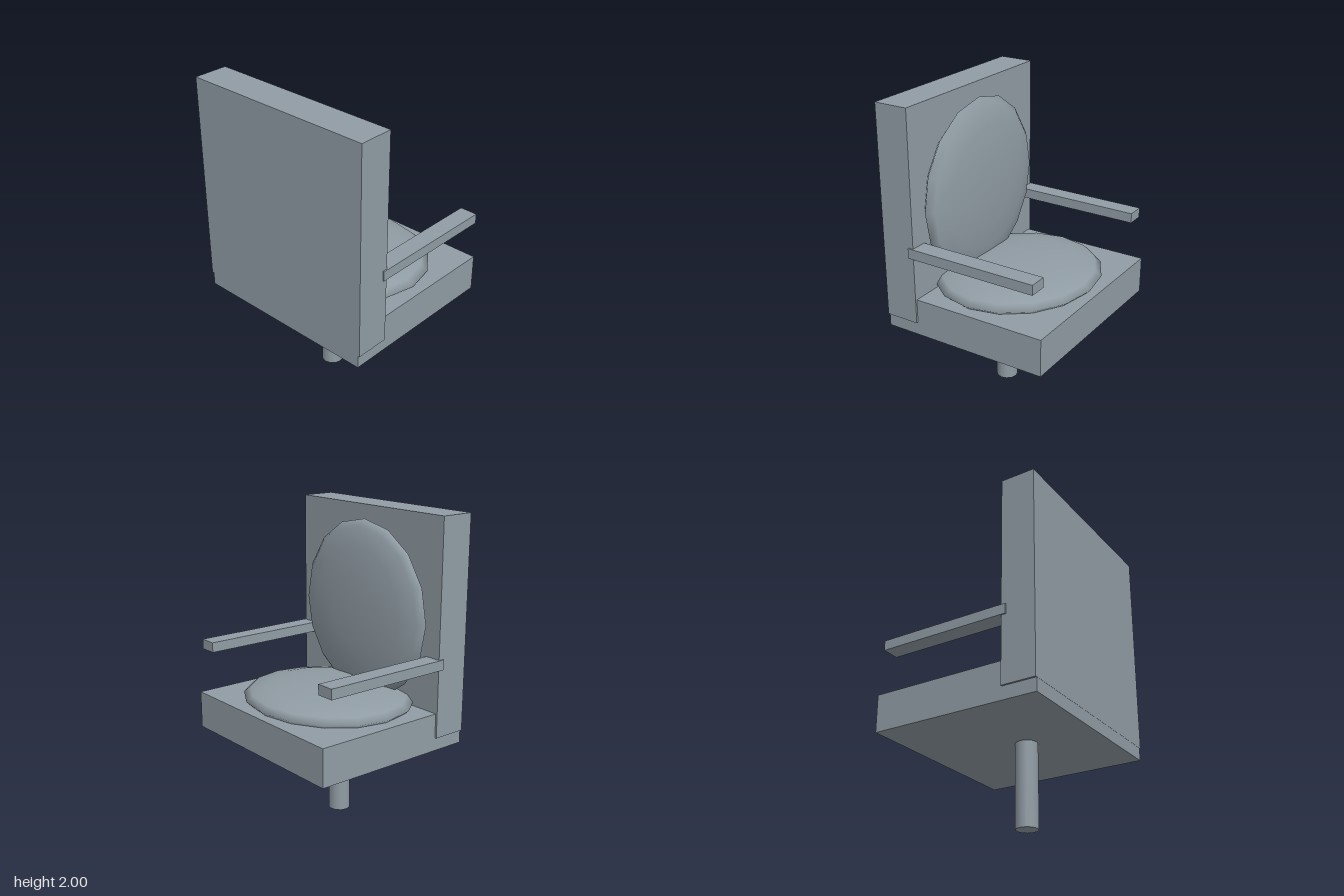
import * as THREE from 'three';

export function createModel() {
  const group = new THREE.Group();
  const grey = new THREE.MeshStandardMaterial({ color: 0x909ca4 });
  grey.name = 'slate grey';

  const add = (name, geometry, x, y, z) => {
    const mesh = new THREE.Mesh(geometry, grey);
    mesh.name = name;
    mesh.position.set(x, y, z);
    group.add(mesh);
    return mesh;
  };

  // Box given by its extents, centred on x
  const slab = (name, width, y0, y1, z0, z1, x = 0) =>
    add(name, new THREE.BoxGeometry(width, y1 - y0, z1 - z0), x, (y0 + y1) / 2, (z0 + z1) / 2);

  // Pedestal post, set slightly towards the backrest
  add('post', new THREE.CylinderGeometry(0.071, 0.071, 0.56, 12), 0, 0.28, 0.1);

  // Seat base and backrest slab
  slab('seatBase', 1.28, 0.54, 0.783, -0.558, 0.56);
  slab('backrest', 1.305, 0.625, 2, 0.335, 0.561);

  // Armrests run forward from the backrest
  for (const [side, name] of [[1, 'leftArmrest'], [-1, 'rightArmrest']]) {
    slab(name, 0.117, 1.065, 1.13, -0.513, 0.368, side * 0.603);
  }

  // Flattened cushions, each with its pole facing the sitter
  const seatCushion = new THREE.SphereGeometry(1, 16, 8).scale(0.587, 0.097, 0.518);
  add('seatCushion', seatCushion, 0, 0.805, 0);

  const backCushion = new THREE.SphereGeometry(1, 16, 8).rotateX(-Math.PI / 2).scale(0.57, 0.58, 0.097);
  add('backCushion', backCushion, 0, 1.335, 0.297);

  return group;
}
